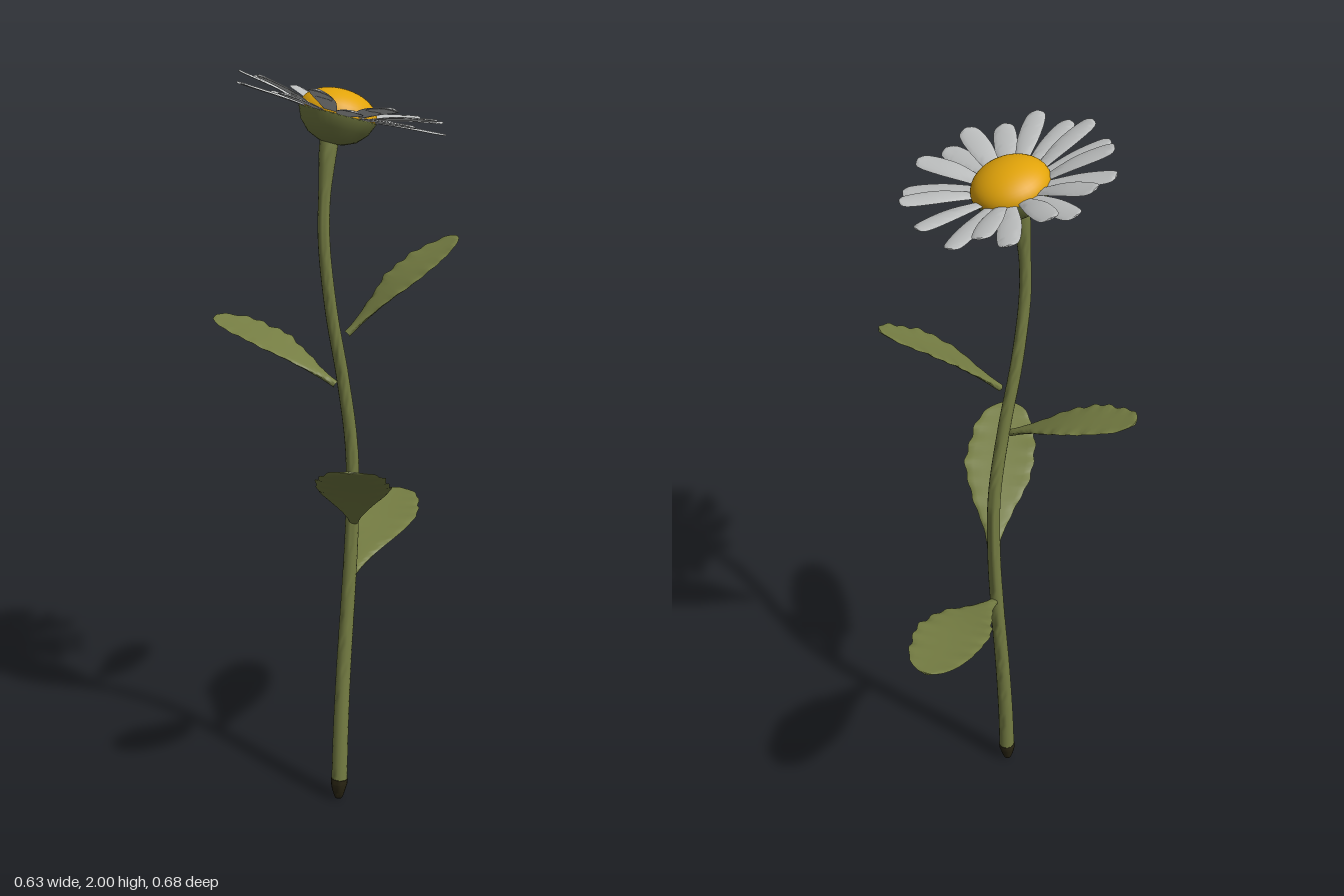
import * as THREE from 'three';
import { toCreasedNormals } from 'three/addons/utils/BufferGeometryUtils.js';

const V = (x, y, z) => new THREE.Vector3(x, y, z);
const { smoothstep } = THREE.MathUtils;
const material = (name, color) => {
  const m = new THREE.MeshStandardMaterial({ color });
  m.name = name;
  return m;
};

// Sweep an elliptical section along a path.
// width, thick: half sizes by u; cup: how far the edges curl up; wave: edge ripple by u and side
function sweep(points, { up, width, thick, cup = 0, wave = () => 0, steps = 24, sides = 14, ease = u => u }) {
  const curve = new THREE.CatmullRomCurve3(points);
  const pos = [], index = [];
  for (let i = 0; i <= steps; i++) {
    const u = ease(i / steps);
    const p = curve.getPointAt(u), t = curve.getTangentAt(u);
    const s = t.clone().cross(up).normalize(), n = s.clone().cross(t);
    const w = Math.max(width(u), 0.0006), h = Math.max(Math.min(thick(u), w), 0.0004);
    for (let j = 0; j < sides; j++) {
      const a = (j / sides) * Math.PI * 2, c = Math.cos(a);
      const across = c * w * (1 + wave(u, c) * c * c);
      const lift = Math.sin(a) * h + c * c * w * (cup + wave(u, c));
      const q = p.clone().addScaledVector(s, across).addScaledVector(n, lift);
      pos.push(q.x, q.y, q.z);
      if (i < steps) {
        const k = (j + 1) % sides, A = i * sides, B = A + sides;
        index.push(A + j, B + j, A + k, B + j, B + k, A + k);
      }
    }
  }
  const g = new THREE.BufferGeometry();
  g.setAttribute('position', new THREE.Float32BufferAttribute(pos, 3));
  g.setIndex(index);
  return toCreasedNormals(g, 1.0);
}

export function createModel() {
  const green = material('leaf green', 0x757d43);
  const white = material('petal white', 0xbfc1c1);
  const yellow = material('disc yellow', 0xe2a40a);
  const dark = material('cut stem dark', 0x2a2513);

  const model = new THREE.Group();
  model.name = 'daisy';
  const add = (name, geometry, mat, parent = model) => {
    const mesh = new THREE.Mesh(geometry, mat);
    mesh.name = name;
    parent.add(mesh);
    return mesh;
  };

  // Stem: thick at the foot, slim in the middle, flared under the flower
  const stemPath = [
    V(-0.067, 0.05, 0.031), V(-0.06, 0.2, 0.026), V(-0.045, 0.4, 0.016), V(-0.028, 0.6, 0.009),
    V(-0.016, 0.8, 0.007), V(-0.018, 1.0, 0.011), V(-0.048, 1.2, 0.022), V(-0.088, 1.4, 0.034),
    V(-0.11, 1.6, 0.042), V(-0.094, 1.8, 0.036), V(-0.085, 1.84, 0.032),
  ];
  const stemRadius = u => 0.015 + 0.007 * Math.pow(1 - u, 1.5) + 0.009 * smoothstep(u, 0.9, 1);
  add('stem', sweep(stemPath, {
    up: V(0, 0, 1), width: stemRadius, thick: stemRadius, steps: 70,
  }), green);

  // Dark cut end of the stem
  const tipRadius = u => 0.0232 * Math.sqrt(Math.min(1, 0.12 + u * 1.2)) * (u === 0 || u === 1 ? 0 : 1);
  add('stemTip', sweep([V(-0.07, 0, 0.032), V(-0.069, 0.035, 0.032), V(-0.066, 0.066, 0.031)], {
    up: V(0, 0, 1), width: tipRadius, thick: tipRadius, steps: 16,
  }), dark);

  // Leaves: base, middle, tip, half width, bluntness of the tip
  const leaves = [
    ['upperLeftLeaf', [V(-0.04, 1.325, 0.03), V(0.1, 1.45, 0.042), V(0.272, 1.555, 0.036)], 0.083, 4],
    ['upperRightLeaf', [V(-0.065, 1.19, 0.015), V(-0.175, 1.28, -0.118), V(-0.287, 1.338, -0.258)], 0.081, 7],
    ['lowerFrontLeaf', [V(-0.014, 0.805, 0.015), V(-0.088, 0.94, 0.17), V(-0.18, 1.062, 0.335)], 0.097, 6],
    ['lowerBackLeaf', [V(-0.01, 0.65, -0.005), V(0.135, 0.718, -0.145), V(0.292, 0.75, -0.325)], 0.1, 5],
  ];
  leaves.forEach(([name, path, half, blunt], k) => {
    const ripple = (u, f) => Math.sin(u * 52 + f) + 0.6 * Math.sin(u * 23 + 2 * f);
    add(name, sweep(path, {
      up: V(0, 1, 0),
      width: u => half * (0.12 + 0.88 * smoothstep(u, -0.04, 0.62)) * Math.sqrt(1 - Math.pow(u, blunt)),
      thick: u => 0.009 - 0.006 * u,
      cup: 0.07,
      wave: (u, c) => 0.028 * c * c * ripple(u, k + (c > 0 ? 0 : 1.7)),
      steps: 72, sides: 18, ease: s => Math.sin(s * Math.PI / 2),
    }), green);
  });

  // Flower head, leaning to the left
  const centre = V(-0.065, 1.885, 0.031), lean = 0.28;
  const head = new THREE.Group();
  head.name = 'flowerHead';
  head.position.copy(centre);
  head.rotation.z = -lean;
  model.add(head);

  const disc = add('disc', new THREE.SphereGeometry(0.099, 36, 12, 0, Math.PI * 2, 0, Math.PI / 2), yellow, head);
  disc.scale.y = 0.63;

  // Green cup under the petals
  const cup = [[0, -0.074], [0.03, -0.072], [0.062, -0.058], [0.086, -0.033], [0.099, -0.003], [0.098, 0], [0, 0]];
  add('calyx', new THREE.LatheGeometry(cup.map(([x, y]) => new THREE.Vector2(x, y)), 36), green, head);

  // Petal tips as x, z
  const tips = [
    [0.197, -0.045], [0.148, -0.135], [0.094, -0.19], [0.037, -0.222], [-0.061, -0.233], [-0.127, -0.222],
    [-0.185, -0.195], [-0.263, -0.135], [-0.288, -0.062], [-0.312, 0.016], [-0.296, 0.09], [-0.272, 0.177],
    [-0.21, 0.232], [-0.142, 0.287], [-0.045, 0.292], [0.008, 0.29], [0.095, 0.247], [0.156, 0.182], [0.192, 0.1],
  ];
  const petals = new THREE.Group();
  petals.name = 'petals';
  model.add(petals);
  const up = V(Math.sin(lean), Math.cos(lean), 0);
  tips.forEach(([x, z], i) => {
    const dx = x - centre.x, dz = z - centre.z, r = Math.hypot(dx, dz);
    // Point on the petal at a fraction of its length
    const at = (f, rise) => V(centre.x + dx * f, centre.y + rise - 0.28 * dx * f, centre.z + dz * f);
    // Every other petal lies lower
    const rise = i % 2 ? 0.015 : 0.044;
    add('petal', sweep([at(0.075 / r, 0), at(0.62, rise * 0.6), at(1, rise)], {
      up,
      width: u => 0.0295 * (0.42 + 0.58 * smoothstep(u, -0.15, 0.6)) * (1 - 0.12 * smoothstep(u, 0.7, 1))
        * Math.sqrt(1 - Math.pow(u, 24)),
      thick: () => 0.0025,
      cup: -0.09,
      ease: s => Math.sin(s * Math.PI / 2),
    }), white, petals);
  });

  return model;
}
